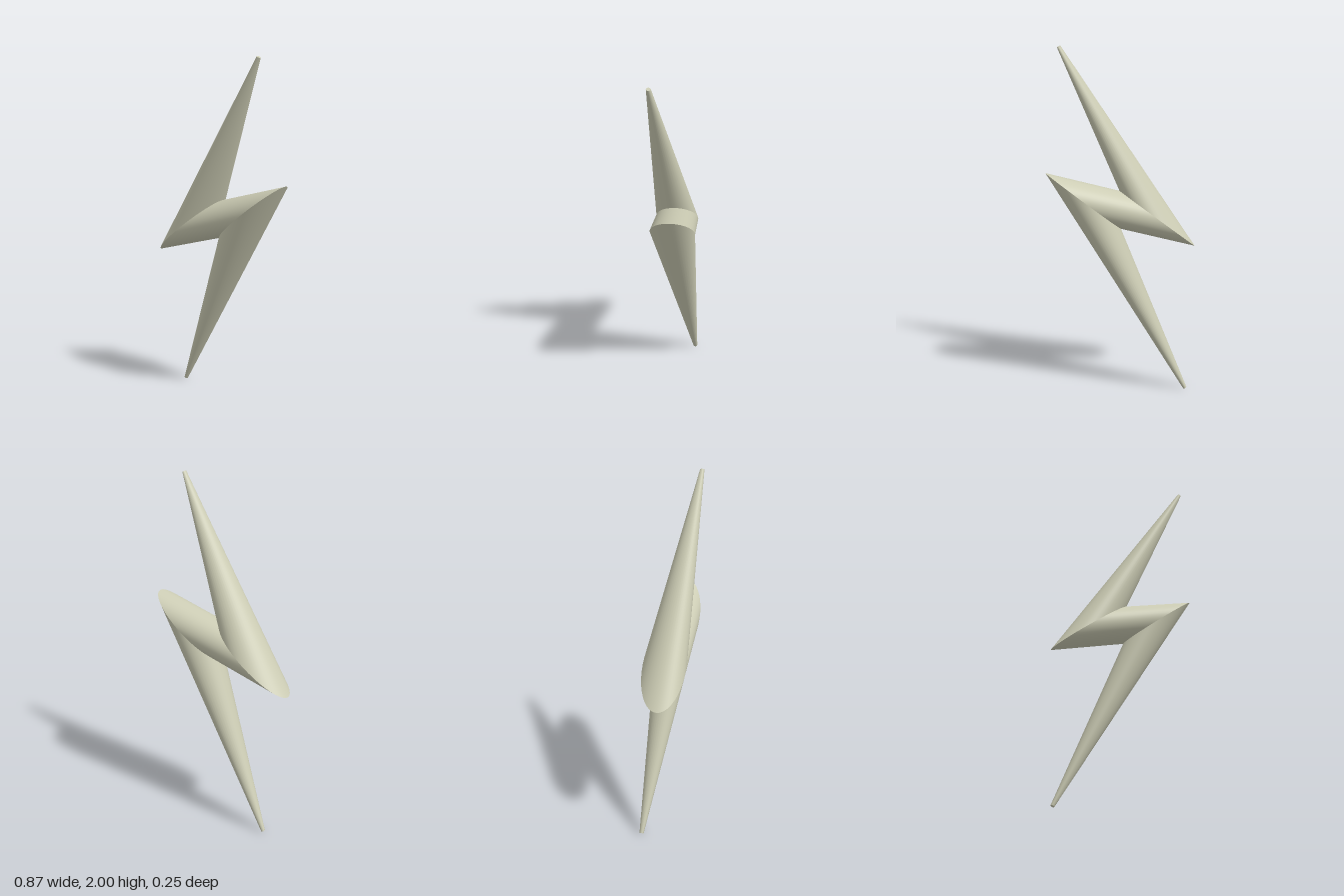
import * as THREE from 'three';

const SIDES = 40;

// Elliptical ring: right and left ends in the xy plane, plus z centre and z radius
function ring([rx, ry], [lx, ly], z, rz) {
  return Array.from({ length: SIDES }, (_, i) => {
    const t = (i / SIDES) * Math.PI * 2;
    const c = Math.cos(t) / 2;
    return [(rx + lx) / 2 + (rx - lx) * c, (ry + ly) / 2 + (ry - ly) * c, z + rz * Math.sin(t)];
  });
}

function geometryFrom(points, index) {
  const geo = new THREE.BufferGeometry();
  geo.setAttribute('position', new THREE.Float32BufferAttribute(points.flat(), 3));
  geo.setIndex(index);
  geo.computeVertexNormals();
  return geo;
}

// Smooth wall between two rings
function loft(a, b) {
  const index = [];
  for (let i = 0; i < SIDES; i++) {
    const j = (i + 1) % SIDES;
    index.push(i, j, SIDES + i, j, SIDES + j, SIDES + i);
  }
  return geometryFrom([...a, ...b], index);
}

// Flat end closing a ring
function cap(r, flip) {
  const index = [];
  for (let i = 1; i < SIDES - 1; i++) index.push(0, ...(flip ? [i + 1, i] : [i, i + 1]));
  return geometryFrom(r, index);
}

export function createModel() {
  const model = new THREE.Group();
  model.name = 'lightningBolt';
  const material = new THREE.MeshStandardMaterial({ color: 0xccccb4 });

  // Rings from the top point through the two mitred corners to the bottom point
  const topTip = ring([0.339, 1.99], [0.32, 2.0], 0.11, 0.0125);
  const leftMitre = ring([0.01, 1.19], [-0.438, 0.845], 0, 0.123);
  const rightMitre = ring([0.433, 1.31], [0.005, 0.972], 0, 0.123);
  const bottomTip = ring([-0.35, 0.0], [-0.369, 0.01], -0.11, 0.0125);

  const parts = {
    upperSpike: loft(topTip, leftMitre),
    middleBar: loft(leftMitre, rightMitre),
    lowerSpike: loft(rightMitre, bottomTip),
    topEnd: cap(topTip, true),
    bottomEnd: cap(bottomTip, false),
  };
  for (const [name, geo] of Object.entries(parts)) {
    const mesh = new THREE.Mesh(geo, material);
    mesh.name = name;
    model.add(mesh);
  }
  return model;
}
